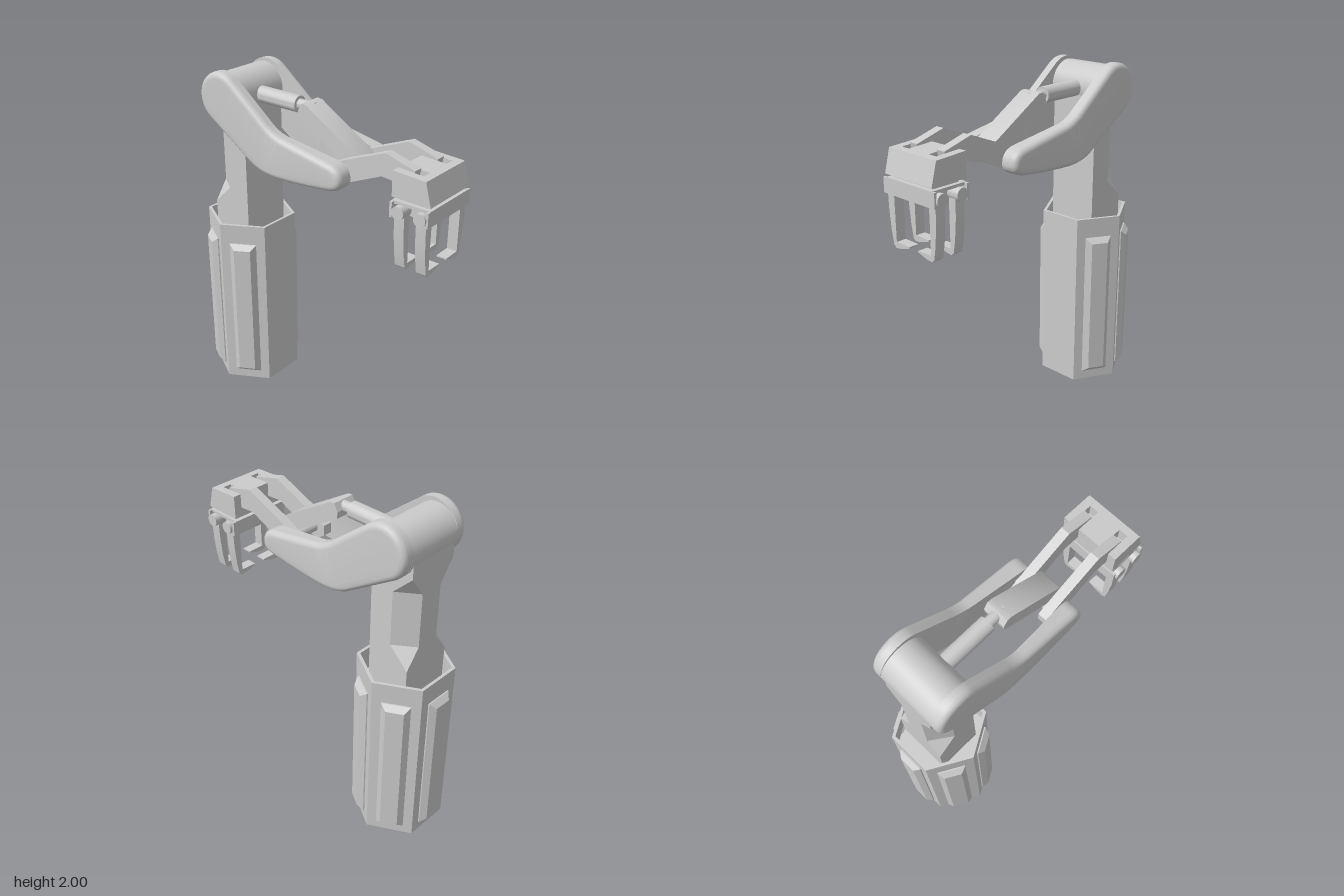
import * as THREE from 'three';
import { toCreasedNormals } from 'three/addons/utils/BufferGeometryUtils.js';

const material = new THREE.MeshStandardMaterial({ color: 0xcccccc });

function add(parent, name, geometry, x = 0, y = 0, z = 0) {
  const mesh = new THREE.Mesh(toCreasedNormals(geometry, 0.5), material);
  mesh.name = name;
  mesh.position.set(x, y, z);
  parent.add(mesh);
  return mesh;
}

const polygon = (pts) => new THREE.Shape(pts.map(([a, b]) => new THREE.Vector2(a, b)));

// Side profile given as (z, y), extruded across x from x0 to x1
function acrossX(shape, x0, x1, options = {}) {
  const bevel = options.bevelThickness || 0;
  const geo = new THREE.ExtrudeGeometry(shape, { depth: x1 - x0 - 2 * bevel, bevelEnabled: false, curveSegments: 14, ...options });
  return geo.translate(0, 0, bevel - x1).rotateY(-Math.PI / 2);
}

const box = (x0, x1, y0, y1, z0, z1) =>
  new THREE.BoxGeometry(x1 - x0, y1 - y0, z1 - z0).translate((x0 + x1) / 2, (y0 + y1) / 2, (z0 + z1) / 2);

const rodX = (r, length, sides = 32) => new THREE.CylinderGeometry(r, r, length, sides).rotateZ(Math.PI / 2);
const rodZ = (r, length, sides = 32) => new THREE.CylinderGeometry(r, r, length, sides).rotateX(Math.PI / 2);

// Column: stacked sections whose back corners are cut away in the middle
function columnGeometry() {
  const levels = [[0.95, 0], [1.17, 0], [1.285, 1], [1.61, 1], [1.73, 0], [1.84, 0]];
  const w = 0.155, front = -0.43, back = -0.69;
  const rings = levels.map(([y, f]) => {
    const cx = 0.085 * f, cz = 0.12 * f;
    return [[w, y, front], [-w, y, front], [-w, y, back + cz], [-w + cx, y, back], [w - cx, y, back], [w, y, back + cz]];
  });
  const pos = [];
  for (let k = 0; k < rings.length - 1; k++) {
    const a = rings[k], b = rings[k + 1];
    for (let i = 0; i < 6; i++) {
      const j = (i + 1) % 6;
      pos.push(...a[i], ...b[i], ...b[j], ...a[i], ...b[j], ...a[j]);
    }
  }
  const geo = new THREE.BufferGeometry();
  geo.setAttribute('position', new THREE.Float32BufferAttribute(pos, 3));
  return geo;
}

// Bent upper arm outline, (z, y)
function armShape() {
  const s = new THREE.Shape();
  const deg = Math.PI / 180;
  s.absarc(-0.545, 1.85, 0.15, 52 * deg, 237 * deg, false);
  s.lineTo(-0.33, 1.53);
  s.quadraticCurveTo(-0.26, 1.48, -0.13, 1.48);
  s.quadraticCurveTo(0.03, 1.485, 0.2, 1.507);
  s.quadraticCurveTo(0.31, 1.515, 0.31, 1.575);
  s.quadraticCurveTo(0.31, 1.645, 0.23, 1.66);
  s.lineTo(-0.1, 1.72);
  s.quadraticCurveTo(-0.16, 1.735, -0.22, 1.785);
  s.closePath();
  return s;
}

export function createModel() {
  const model = new THREE.Group();
  model.name = 'roboticArm';

  // Hexagonal pedestal with a recessed top
  const baseProfile = [[0, 0], [0.27, 0], [0.27, 1.09], [0.25, 1.09], [0.25, 0.95], [0, 0.95]];
  add(model, 'pedestal', new THREE.LatheGeometry(baseProfile.map(([r, y]) => new THREE.Vector2(r, y)), 6, Math.PI / 6), 0, 0, -0.555);

  // Raised panels on every side but the front
  const panelShape = polygon([[-0.08, 0.06], [0.08, 0.06], [0.08, 0.97], [-0.08, 0.97]]);
  for (let k = 1; k < 6; k++) {
    const side = new THREE.Group();
    side.name = 'pedestalPanel';
    side.position.z = -0.555;
    side.rotation.y = k * Math.PI / 3;
    model.add(side);
    add(side, 'panel', new THREE.ExtrudeGeometry(panelShape, {
      depth: 0.015, bevelEnabled: true, bevelSegments: 1, bevelThickness: 0.03, bevelSize: 0.03, bevelOffset: -0.03,
    }), 0, 0, 0.226);
  }

  // Column and shoulder
  add(model, 'column', columnGeometry());
  add(model, 'shoulderDrum', rodX(0.135, 0.35, 48), 0, 1.845, -0.56);

  // Piston
  add(model, 'pistonSleeve', rodZ(0.047, 0.35), 0, 1.848, -0.325);
  add(model, 'pistonRod', rodZ(0.03, 0.14), 0, 1.848, -0.11);

  // Link between piston and forearm
  add(model, 'link', acrossX(polygon([
    [-0.08, 1.883], [-0.05, 1.88], [0.3, 1.67], [0.32, 1.64], [0.28, 1.595], [0.2, 1.62], [-0.1, 1.8], [-0.105, 1.84],
  ]), -0.068, 0.068));
  add(model, 'elbowPin', rodX(0.03, 0.3), 0, 1.58, 0.22);

  const barShape = polygon([
    [0.14, 1.61], [0.14, 1.55], [0.2, 1.508], [0.5, 1.64], [0.68, 1.625], [0.7, 1.72], [0.52, 1.77], [0.27, 1.67],
  ]);
  const headPts = [[0.6, 1.575], [0.83, 1.575], [0.795, 1.705], [0.6, 1.715]];
  const slotPts = [[0.6, 1.575], [0.83, 1.575], [0.795, 1.705], [0.75, 1.707], [0.75, 1.63], [0.6, 1.63]];

  for (const s of [-1, 1]) {
    const side = s > 0 ? 'left' : 'right';
    const span = (shape, a, b, o) => acrossX(shape, Math.min(s * a, s * b), Math.max(s * a, s * b), o);

    // Upper arm: rounded outer shell over a flat inner plate that thickens toward the elbow
    add(model, side + 'UpperArm', span(armShape(), 0.165, 0.235, {
      bevelEnabled: true, bevelThickness: 0.033, bevelSize: 0.033, bevelOffset: -0.033, bevelSegments: 6,
    }));
    const plate = span(armShape(), 0.165, 0.2);
    const p = plate.attributes.position;
    for (let i = 0; i < p.count; i++) {
      const t = THREE.MathUtils.clamp((p.getZ(i) + 0.15) / 0.35, 0, 1);
      if (Math.abs(p.getX(i)) < 0.18) p.setX(i, s * (0.165 - 0.028 * t));
    }
    add(model, side + 'UpperArmInnerPlate', plate);

    // Forearm bar and the slotted part of the wrist head
    add(model, side + 'ForearmBar', span(barShape, 0.075, 0.13));
    add(model, side + 'HeadCheek', span(polygon(headPts), 0.13, 0.178));
    add(model, side + 'HeadSlot', span(polygon(slotPts), 0.075, 0.13));

    // Two hooked fingers with their hinges
    const finger = polygon([
      [0.135, 1.51], [0.185, 1.51], [0.182, 1.38], [0.172, 1.27], [0.158, 1.19], [0.14, 1.175], [0.1, 1.18],
      [0.035, 1.2], [0.035, 1.208], [0.135, 1.21], [0.135, 1.3],
    ].map(([x, y]) => [s * x, y]));
    for (const z of [0.655, 0.785]) {
      add(model, side + 'Finger', new THREE.ExtrudeGeometry(finger, { depth: 0.06, bevelEnabled: false }), 0, 0, z - 0.03);
      add(model, side + 'FingerHinge', rodX(0.036, 0.075, 24), s * 0.168, 1.507, z);
    }
  }

  // Wrist head, neck and gripper frame
  add(model, 'headCentre', acrossX(polygon(headPts), -0.075, 0.075));
  add(model, 'wristNeck', box(-0.15, 0.15, 1.55, 1.58, 0.63, 0.8));
  add(model, 'gripperTopPlate', box(-0.175, 0.175, 1.54, 1.557, 0.6, 0.83));
  add(model, 'gripperCore', box(-0.13, 0.13, 1.475, 1.545, 0.615, 0.815));
  add(model, 'gripperFrontRail', box(-0.195, 0.195, 1.47, 1.555, 0.815, 0.83));
  add(model, 'gripperBackRail', box(-0.195, 0.195, 1.47, 1.555, 0.6, 0.615));

  return model;
}
